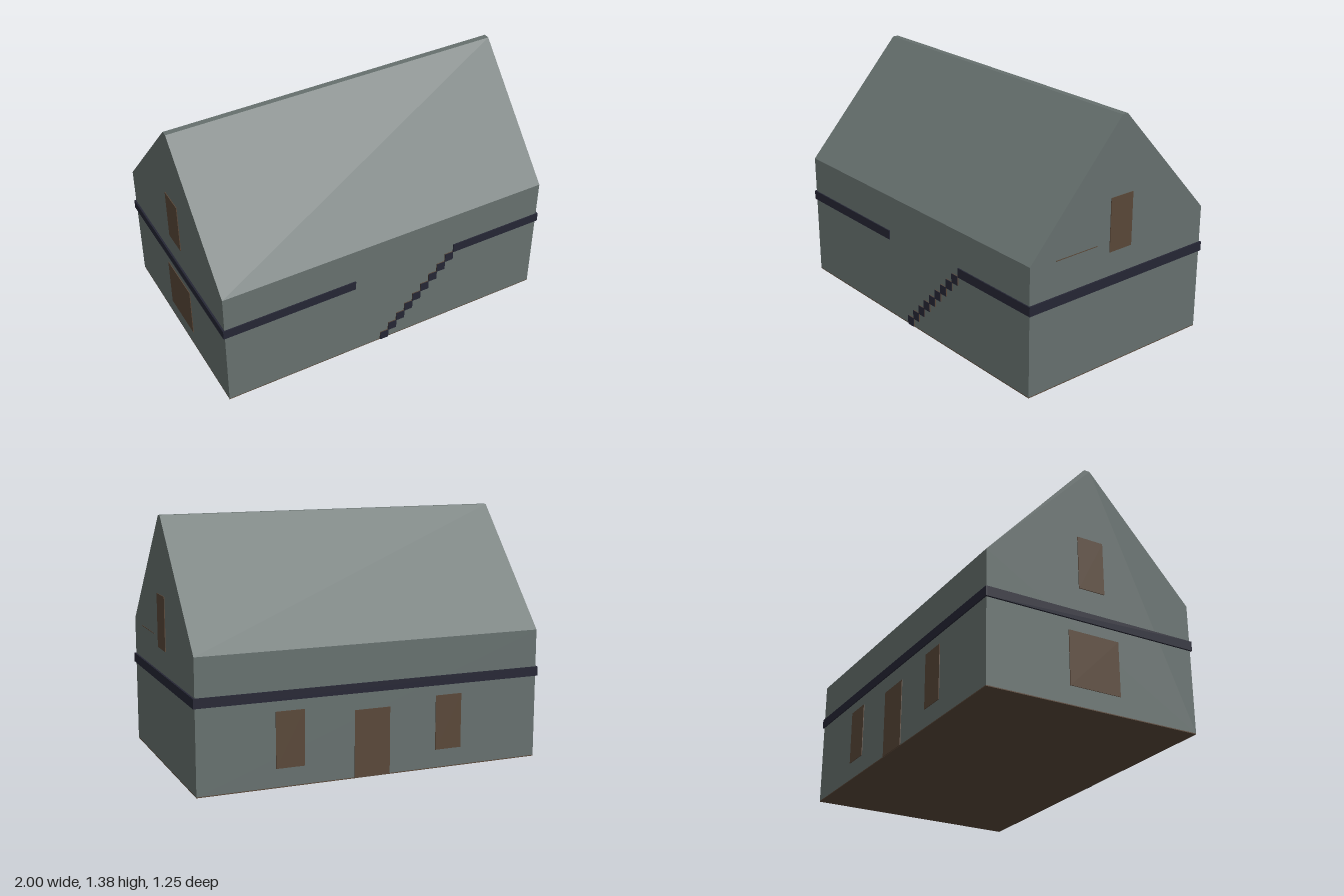
import * as THREE from 'three';

export function createModel() {
  const house = new THREE.Group();
  house.name = 'house';

  const mat = (name, color) => {
    const m = new THREE.MeshStandardMaterial({ color });
    m.name = name;
    return m;
  };
  const grey = mat('slate grey', 0x66706e);
  const navy = mat('dark navy', 0x252634);
  const brown = mat('brown wood', 0x594738);

  const add = (name, geometry, material) => {
    const mesh = new THREE.Mesh(geometry, material);
    mesh.name = name;
    house.add(mesh);
  };
  // Box given by its two opposite corners
  const box = (name, material, [x0, y0, z0], [x1, y1, z1]) => {
    const g = new THREE.BoxGeometry(x1 - x0, y1 - y0, z1 - z0);
    g.translate((x0 + x1) / 2, (y0 + y1) / 2, (z0 + z1) / 2);
    add(name, g, material);
  };

  const X = 0.99, Z = 0.615;

  // Walls and gabled roof with a narrow flat ridge
  const gable = new THREE.Shape([
    [-Z, 0.005], [Z, 0.005], [Z, 0.73], [0.017, 1.385], [-0.017, 1.385], [-Z, 0.73],
  ].map(([x, y]) => new THREE.Vector2(x, y)));
  const shell = new THREE.ExtrudeGeometry(gable, { depth: 2 * X, bevelEnabled: false });
  shell.translate(0, 0, -X).rotateY(Math.PI / 2);
  add('wallsAndRoof', shell, grey);

  // Underside
  box('floor', brown, [-X, 0, -Z], [X, 0.005, Z]);

  // Band between storeys, open at the front above the stairs
  const b0 = 0.467, b1 = 0.52;
  box('bandBack', navy, [-1, b0, -0.622], [1, b1, -Z]);
  box('bandFrontRight', navy, [-1, b0, Z], [-0.21, b1, 0.622]);
  box('bandFrontLeft', navy, [0.42, b0, Z], [1, b1, 0.622]);
  box('bandRight', navy, [-1, b0, -Z], [-X, b1, Z]);
  box('bandLeft', navy, [X, b0, -Z], [1, b1, Z]);

  // Stairs climbing to the band: wooden treads with dark faces
  for (let i = 0; i < 9; i++) {
    const x = -0.045 + i * 0.0515, y = 0.003 + i * 0.0518;
    box('stairTread', brown, [x, y, Z], [x + 0.052, y + 0.053, 0.62]);
    box('stairFace', navy, [x, y, 0.62], [x + 0.052, y + 0.053, 0.623]);
  }

  // Back windows and door
  const zb = -Z - 0.004;
  box('backWindow', brown, [0.4, 0.105, zb], [0.56, 0.41, -Z]);
  box('backDoor', brown, [-0.09, 0.003, zb], [0.115, 0.375, -Z]);
  box('backWindow', brown, [-0.52, 0.105, zb], [-0.365, 0.41, -Z]);

  // Attic windows in both gables, and the wide window on the right side
  for (const s of [-1, 1]) {
    const xs = [s * X, s * (X + 0.004)].sort((a, b) => a - b);
    box('atticWindow', brown, [xs[0], 0.655, -0.077], [xs[1], 0.955, 0.077]);
  }
  box('sideWindow', brown, [-X - 0.004, 0.105, -0.147], [-X, 0.405, 0.15]);

  // Thin ledge on the left gable
  box('gableLedge', brown, [X, 0.712, 0.165], [X + 0.002, 0.716, 0.445]);

  return house;
}
